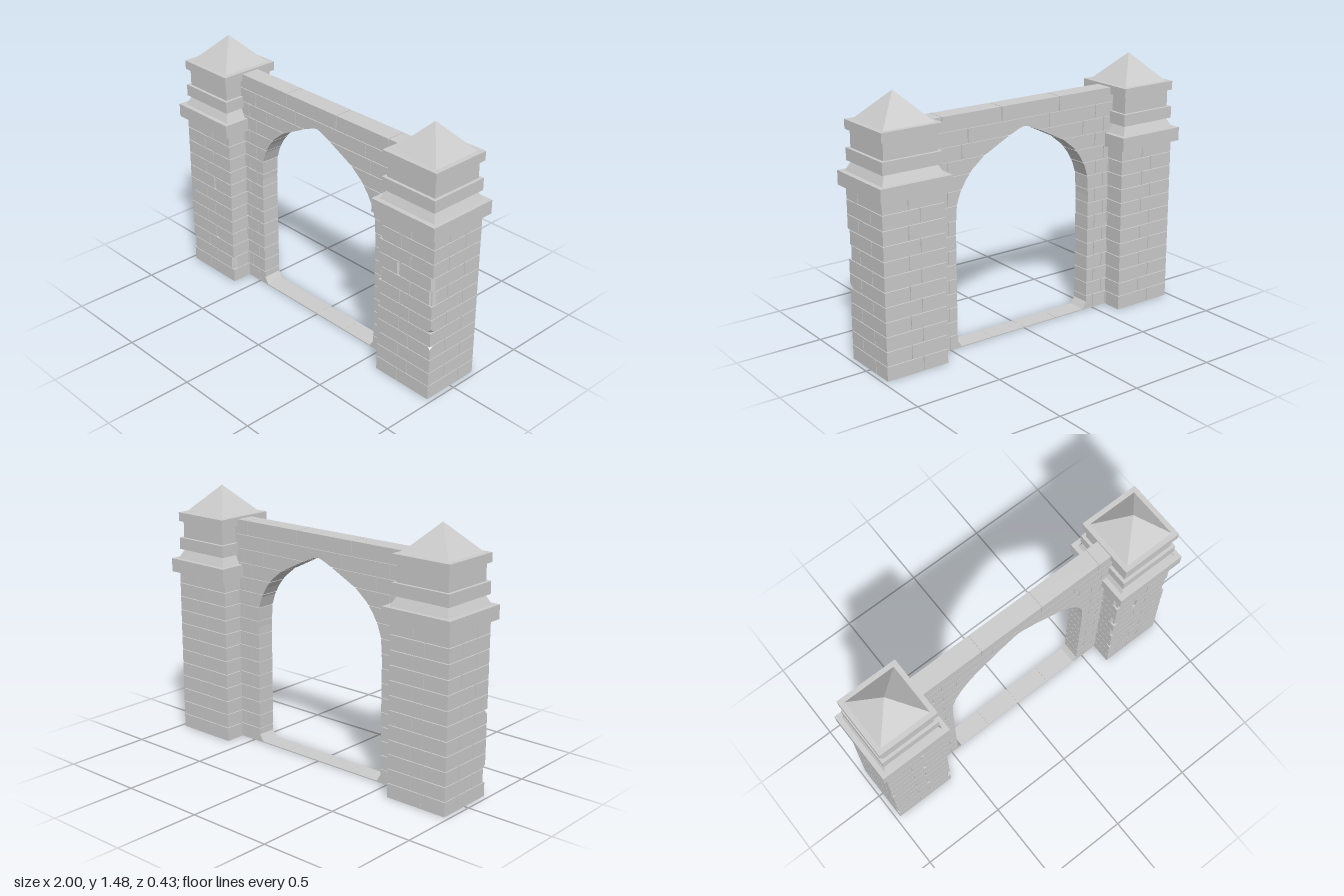
import * as THREE from 'three';
import { ConvexGeometry } from 'three/addons/geometries/ConvexGeometry.js';

const COURSE = 0.0818, GAP = 0.002;
const PILLAR_X = 0.787, SHAFT_X = 0.187, SHAFT_Z = 0.176, SHAFT_TOP = 0.975;
const WALL_X = 0.64, WALL_Z = 0.055;

// Right half of the pointed opening, from the ground to the apex
const ARCH = [[0.43, 0], [0.43, 0.006], [0.455, 0.045], [0.455, 0.7], [0.447, 0.82], [0.425, 0.885],
  [0.39, 0.945], [0.345, 1.0], [0.27, 1.06], [0.1, 1.145], [0.03, 1.175], [0, 1.182]];

const material = new THREE.MeshStandardMaterial({ color: 0xcccccc, flatShading: true });

let seed = 7;
function random() {
  seed = (seed * 16807) % 2147483647;
  return seed / 2147483647;
}

function add(parent, name, geometry, x = 0, y = 0, z = 0) {
  const mesh = new THREE.Mesh(geometry, material);
  mesh.name = name;
  mesh.position.set(x, y, z);
  parent.add(mesh);
  return mesh;
}

// Half width of the opening at height y
function archX(y) {
  for (let i = 1; i < ARCH.length; i++) {
    const [xa, ya] = ARCH[i - 1], [xb, yb] = ARCH[i];
    if (y <= yb) return xa + (xb - xa) * (y - ya) / (yb - ya);
  }
  return 0;
}

// Stone block; chip 'edge' bevels one upright front edge, 'corner' knocks off one front corner
function stone(min, max, chip) {
  const sideX = random() < 0.5 ? 0 : 1, sideY = random() < 0.5 ? 0 : 1;
  const cut = 0.012 + random() * 0.012;
  const points = [];
  for (let i = 0; i < 8; i++) {
    const bx = i & 1, by = (i >> 1) & 1, bz = i >> 2;
    const p = new THREE.Vector3(bx ? max[0] : min[0], by ? max[1] : min[1], bz ? max[2] : min[2]);
    const chipped = chip && bz && bx === sideX && (chip === 'edge' || by === sideY);
    if (!chipped) {
      points.push(p);
      continue;
    }
    points.push(p.clone().add(new THREE.Vector3(bx ? -cut : cut, 0, 0)));
    points.push(p.clone().add(new THREE.Vector3(0, 0, -cut * 1.5)));
    if (chip === 'corner') points.push(p.clone().add(new THREE.Vector3(0, by ? -cut : cut, 0)));
  }
  return new ConvexGeometry(points);
}

// Square block or taper between two half widths
function square(parent, name, bottom, top, y0, y1) {
  const g = new THREE.CylinderGeometry(top * Math.SQRT2, bottom * Math.SQRT2, y1 - y0, 4);
  g.rotateY(Math.PI / 4);
  add(parent, name, g, 0, (y0 + y1) / 2, 0);
}

function makePillar(side) {
  const pillar = new THREE.Group();
  pillar.name = side > 0 ? 'leftPillar' : 'rightPillar';
  pillar.position.x = side * PILLAR_X;

  // Recessed mortar core
  const inset = 0.01;
  add(pillar, 'shaftCore', new THREE.BoxGeometry(2 * (SHAFT_X - inset), SHAFT_TOP - 0.004, 2 * (SHAFT_Z - inset)),
    0, SHAFT_TOP / 2, 0);

  // Staggered courses, four stones each
  for (let row = 0; row < 12; row++) {
    const y0 = row * COURSE + (row ? GAP : 0);
    const y1 = Math.min((row + 1) * COURSE - GAP, SHAFT_TOP);
    const xs = [-SHAFT_X, row % 2 ? 0.035 : -0.035, SHAFT_X];
    const zs = [-SHAFT_Z, row % 2 ? 0.06 : -0.06, SHAFT_Z];
    for (let i = 0; i < 2; i++) for (let k = 0; k < 2; k++) {
      const r = random();
      const chip = k === 1 ? (r < 0.22 ? 'edge' : r < 0.5 ? 'corner' : null) : null;
      add(pillar, 'pillarStone', stone(
        [xs[i] + (i ? GAP : 0), y0, zs[k] + (k ? GAP : 0)],
        [xs[i + 1] - (i ? 0 : GAP), y1, zs[k + 1] - (k ? 0 : GAP)], chip));
    }
  }

  // Stepped cap and pyramid roof
  square(pillar, 'capSlab', 0.213, 0.213, 0.972, 1.05);
  square(pillar, 'capTaper', 0.185, 0.157, 1.05, 1.105);
  square(pillar, 'lowerBand', 0.178, 0.178, 1.105, 1.173);
  square(pillar, 'neck', 0.16, 0.16, 1.173, 1.27);
  square(pillar, 'upperBand', 0.179, 0.179, 1.27, 1.321);
  square(pillar, 'roof', 0.151, 0, 1.321, 1.48);
  return pillar;
}

function extrude(points, halfDepth) {
  const shape = new THREE.Shape(points.map(([x, y]) => new THREE.Vector2(x, y)));
  const g = new THREE.ExtrudeGeometry(shape, { depth: 2 * halfDepth, bevelEnabled: false });
  return g.translate(0, 0, -halfDepth);
}

// Wall stone between x = a and x = b, trimmed by the opening
function archStone(side, a, b, y0, y1) {
  const levels = [y1, ...ARCH.map(p => p[1]).filter(y => y > y0 && y < y1).reverse(), y0];
  const inner = levels.map(y => [Math.max(a, archX(y)), y]);
  return extrude([[b, y0], [b, y1], ...inner].map(([x, y]) => [x * side, y]), WALL_Z);
}

function makeWall() {
  const wall = new THREE.Group();
  wall.name = 'archWall';

  // Recessed mortar core with the same opening
  const edge = ARCH.map(([x, y]) => [x + 0.005, y ? y + 0.005 : 0]);
  edge[edge.length - 1][0] = 0;
  const left = edge.slice(0, -1).map(([x, y]) => [-x, y]).reverse();
  add(wall, 'wallCore', extrude(
    [[WALL_X, 0], [WALL_X, 1.304], [-WALL_X, 1.304], [-WALL_X, 0], ...left.reverse(), ...edge.slice().reverse()],
    WALL_Z - 0.007));

  // Courses beside and over the opening
  const archJoints = { 12: [0.5], 13: [0.41, 0.56], 14: [0.37] };
  for (const side of [1, -1]) {
    for (let row = 0; row < 15; row++) {
      let joints = archJoints[row] || (row % 2 ? [0.565] : [0.505]);
      if (row === 14 && side < 0) joints = [0.17, 0.5];
      const xs = [0, ...joints, WALL_X];
      for (let i = 0; i < xs.length - 1; i++) {
        const a = xs[i] + (i ? GAP : 0);
        const b = xs[i + 1] - (i < xs.length - 2 ? GAP : 0);
        add(wall, 'wallStone', archStone(side, a, b, row * COURSE + (row ? GAP : 0), (row + 1) * COURSE - GAP));
      }
    }
  }

  // Top course
  const top = [-WALL_X, -0.24, 0.15, 0.53, WALL_X];
  for (let i = 0; i < 4; i++) {
    add(wall, 'copingStone', stone(
      [top[i] + GAP, 15 * COURSE + GAP, -WALL_Z], [top[i + 1] - GAP, 1.31, WALL_Z], i === 0 ? 'corner' : null));
  }

  // Thin threshold across the opening
  for (let i = 0; i < 4; i++) {
    add(wall, 'threshold', new THREE.BoxGeometry(0.224, 0.006, 2 * WALL_Z), (i - 1.5) * 0.225, 0.003, 0);
  }
  return wall;
}

export function createModel() {
  seed = 7;
  const gate = new THREE.Group();
  gate.name = 'stoneGateway';
  gate.add(makePillar(1), makePillar(-1), makeWall());
  return gate;
}
